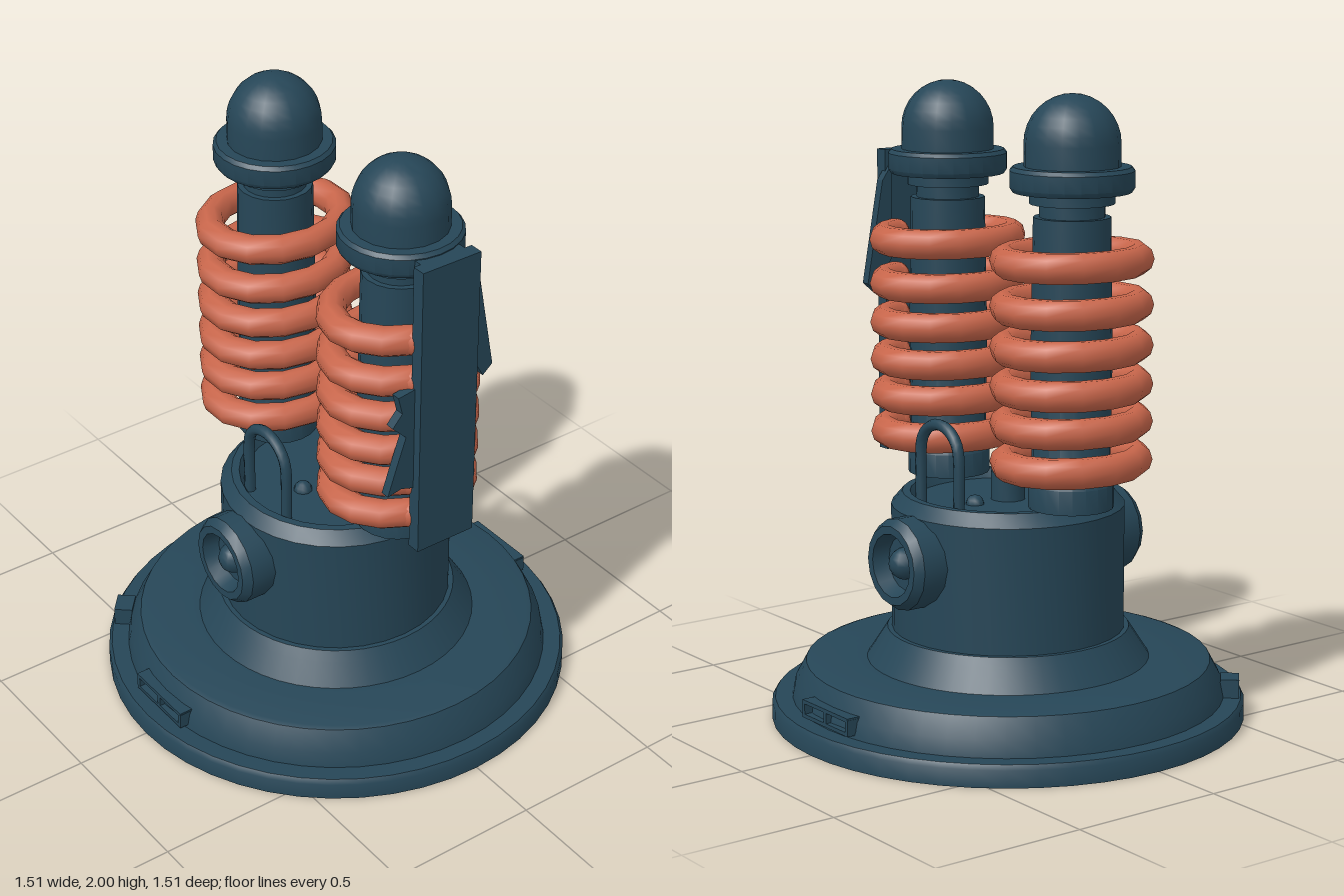
import * as THREE from 'three';
import { toCreasedNormals } from 'three/addons/utils/BufferGeometryUtils.js';

export function createModel() {
  const model = new THREE.Group();
  const steel = new THREE.MeshStandardMaterial({ color: 0x264657 });
  steel.name = 'dark blue steel';
  const copper = new THREE.MeshStandardMaterial({ color: 0xc8664b });
  copper.name = 'copper';

  const add = (parent, name, geometry, material = steel, x = 0, y = 0, z = 0) => {
    const mesh = new THREE.Mesh(geometry, material);
    mesh.name = name;
    mesh.position.set(x, y, z);
    parent.add(mesh);
    return mesh;
  };
  const lathe = (points, sides) => toCreasedNormals(
    new THREE.LatheGeometry(points.map(([r, y]) => new THREE.Vector2(r, y)), sides), 0.6);

  // Stepped round base
  add(model, 'base', lathe([[0, 0], [0.755, 0], [0.755, 0.055], [0.745, 0.07], [0.69, 0.07],
    [0.68, 0.12], [0.645, 0.185], [0.63, 0.19], [0.45, 0.19], [0.405, 0.26], [0.385, 0.29], [0, 0.29]], 48));

  // Drum with a shallow recessed top
  add(model, 'drum', lathe([[0.37, 0.27], [0.37, 0.69], [0.335, 0.73], [0.31, 0.73],
    [0.295, 0.70], [0, 0.70]], 32));

  // Fittings repeated on the front and the back
  for (const side of [0, 1]) {
    const half = new THREE.Group();
    half.name = side ? 'backFittings' : 'frontFittings';
    half.rotation.y = side * Math.PI;
    model.add(half);

    const port = lathe([[0.145, 0.28], [0.145, 0.425], [0.125, 0.452], [0.1, 0.452],
      [0.085, 0.40], [0, 0.40]], 16);
    port.rotateX(Math.PI / 2);
    add(half, 'port', port, steel, 0, 0.55, 0);
    add(half, 'portKnob', new THREE.SphereGeometry(0.05, 12, 8), steel, 0, 0.55, 0.4);

    // U-shaped lifting handle
    const path = [[-0.1, 0.68], [-0.1, 0.88]];
    for (let i = 1; i < 8; i++) {
      const a = Math.PI * (1 - i / 8);
      path.push([0.1 * Math.cos(a), 0.88 + 0.09 * Math.sin(a)]);
    }
    path.push([0.1, 0.88], [0.1, 0.68]);
    const curve = new THREE.CatmullRomCurve3(path.map(([x, y]) => new THREE.Vector3(x, y, 0.265)), false, 'centripetal');
    add(half, 'handle', new THREE.TubeGeometry(curve, 32, 0.018, 8));

    // Vent frame on the base
    for (const y of [0.087, 0.132]) add(half, 'ventRail', new THREE.BoxGeometry(0.25, 0.012, 0.06), steel, 0, y, 0.672);
    for (const x of [-0.119, 0, 0.119]) add(half, 'ventPost', new THREE.BoxGeometry(0.014, 0.045, 0.06), steel, x, 0.11, 0.672);
    add(half, 'topRivet', new THREE.SphereGeometry(0.03, 10, 6), steel, 0, 0.70, 0.13);
  }

  // Centre knob and rim latch
  add(model, 'centreKnob', lathe([[0.055, 0.69], [0.055, 0.79], [0.04, 0.81], [0, 0.812]], 14));
  const latch = add(model, 'rimLatch', new THREE.BoxGeometry(0.08, 0.07, 0.06), steel, -0.47, 0.095, 0.53);
  latch.rotation.y = -0.72;

  // Two coil towers
  const gap = 0.8;
  for (const side of [-1, 1]) {
    const tower = new THREE.Group();
    tower.name = side < 0 ? 'rightTower' : 'leftTower';
    tower.position.x = side * 0.32;
    model.add(tower);
    add(tower, 'column', lathe([[0, 0.735], [0.132, 0.735], [0.132, 0.81], [0.12, 0.83], [0.125, 1.2],
      [0.118, 1.63], [0.1, 1.63], [0.1, 1.67], [0.13, 1.67], [0.13, 1.705], [0, 1.705]], 20));
    add(tower, 'flange', lathe([[0, 1.705], [0.18, 1.705], [0.19, 1.72], [0.19, 1.77], [0.18, 1.782], [0, 1.782]], 24));
    const dome = [[0.147, 1.77], [0.147, 1.85]];
    for (let i = 1; i <= 8; i++) {
      const a = i * Math.PI / 16;
      dome.push([Math.max(0, 0.147 * Math.cos(a)), 1.85 + 0.15 * Math.sin(a)]);
    }
    add(tower, 'domeCap', lathe(dome, 18));

    // Coil rings, open behind the plate on the left tower
    for (const y of [0.88, 1.0, 1.115, 1.235, 1.36, 1.5]) {
      const arc = side < 0 ? Math.PI * 2 : Math.PI * 2 - gap;
      const ring = new THREE.TorusGeometry(0.217, 0.048, 10, 14, arc);
      if (side > 0) ring.rotateZ(gap / 2);
      ring.rotateX(Math.PI / 2).scale(0.85, 1, 1);
      add(tower, 'coilRing', ring, copper, 0, y, 0);
      if (side > 0) for (const s of [-1, 1]) {
        add(tower, 'ringEnd', new THREE.SphereGeometry(0.046, 10, 8), copper,
          0.184 * Math.cos(gap / 2), y, s * 0.217 * Math.sin(gap / 2));
      }
    }
  }

  // Tall side plate with its bracket and torn fins
  add(model, 'sidePlate', new THREE.BoxGeometry(0.045, 0.985, 0.21), steel, 0.541, 1.275, 0);
  add(model, 'plateBracket', new THREE.BoxGeometry(0.06, 0.05, 0.16), steel, 0.5, 1.742, 0);
  const fin = (name, points) => {
    const shape = new THREE.Shape(points.map(([z, y]) => new THREE.Vector2(z, y)));
    const geometry = new THREE.ExtrudeGeometry(shape, { depth: 0.03, bevelEnabled: false });
    geometry.rotateY(-Math.PI / 2);
    add(model, name, geometry, steel, 0.535, 0, 0);
  };
  fin('backFin', [[-0.09, 1.72], [-0.125, 1.67], [-0.185, 1.34], [-0.15, 1.31], [-0.09, 1.42]]);
  fin('frontFin', [[0.09, 1.36], [0.165, 1.35], [0.15, 1.29], [0.185, 1.25], [0.135, 1.2],
    [0.17, 1.1], [0.2, 1.01], [0.15, 1.02], [0.09, 1.0]]);

  return model;
}
